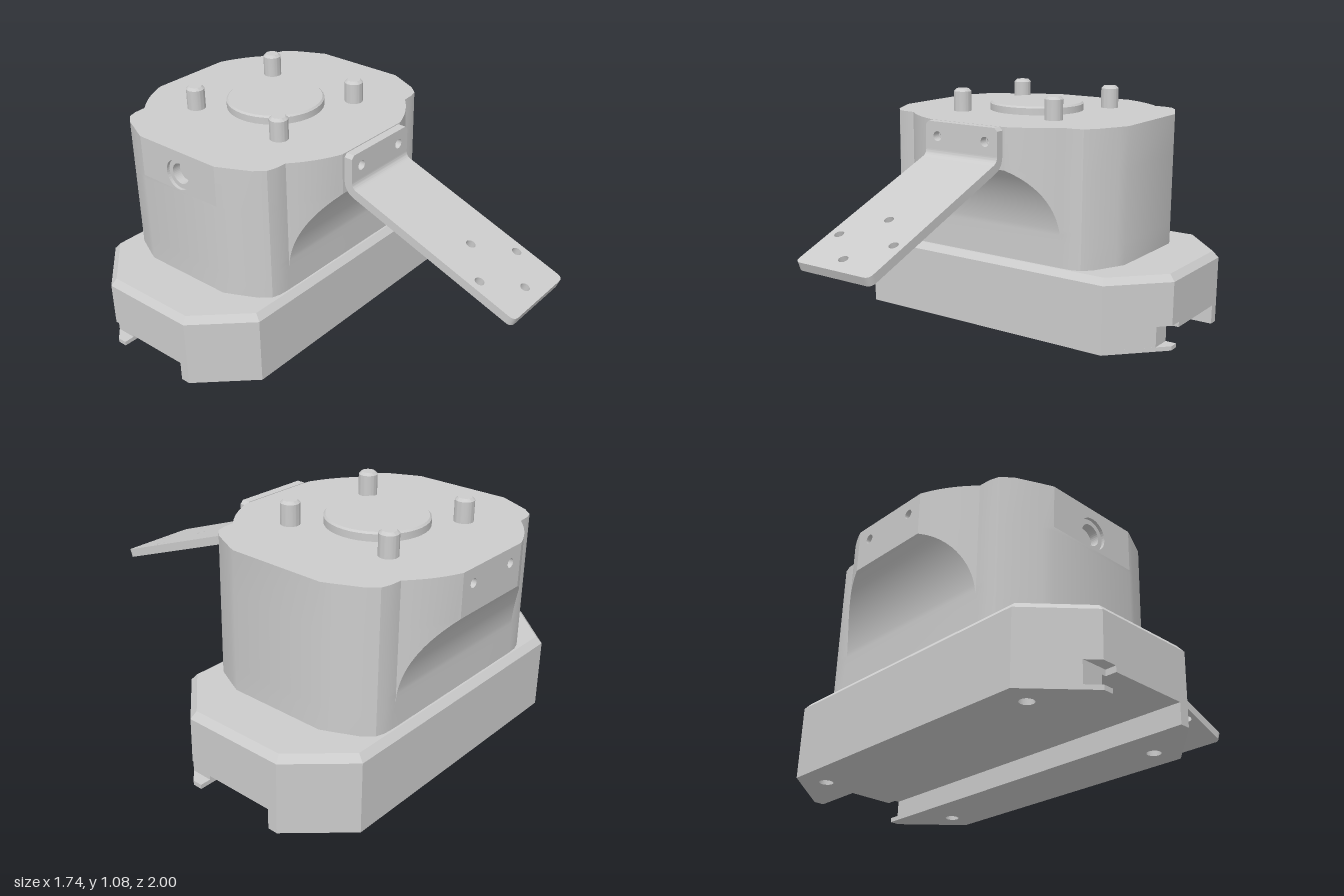
import * as THREE from 'three';
import { toCreasedNormals } from 'three/addons/utils/BufferGeometryUtils.js';

const material = new THREE.MeshStandardMaterial({ color: 0xcccccc });
const MID_Z = -0.435; // centre of the housing
const negate = (pts) => pts.map(([x, z]) => [-x, -z]);

function add(parent, name, geometry, x = 0, y = 0, z = 0) {
  const mesh = new THREE.Mesh(geometry, material);
  mesh.name = name;
  mesh.position.set(x, y, z);
  parent.add(mesh);
  return mesh;
}

function makeShape(pts, holes = []) {
  const shape = new THREE.Shape(pts.map(([x, y]) => new THREE.Vector2(x, y)));
  for (const [x, y, r] of holes) {
    shape.holes.push(new THREE.Path().absarc(x, y, r, 0, Math.PI * 2, true));
  }
  return shape;
}

const extrude = (shape, depth) =>
  new THREE.ExtrudeGeometry(shape, { depth, bevelEnabled: false, curveSegments: 20 });

// Plan outline given as [x, z]
const planShape = (pts, holes = []) =>
  makeShape(pts.map(([x, z]) => [x, -z]), holes.map(([x, z, r]) => [x, -z, r]));

const slab = (pts, y0, y1, holes) =>
  extrude(planShape(pts, holes), y1 - y0).rotateX(-Math.PI / 2).translate(0, y0, 0);

const cap = (pts) => new THREE.ShapeGeometry(planShape(pts)).rotateX(-Math.PI / 2);

// Skin through stacked plan outlines, leaving out the cells that skip() picks
function loft(rings, skip = () => false) {
  const n = rings[0].pts.length;
  const position = [];
  const index = [];
  for (const { pts, y } of rings) for (const [x, z] of pts) position.push(x, y, z);
  for (let r = 0; r < rings.length - 1; r++) {
    for (let i = 0; i < n; i++) {
      if (skip(r, i)) continue;
      const a = r * n + i;
      const b = r * n + (i + 1) % n;
      index.push(a, a + n, b, b, a + n, b + n);
    }
  }
  const g = new THREE.BufferGeometry();
  g.setAttribute('position', new THREE.Float32BufferAttribute(position, 3));
  g.setIndex(index);
  return toCreasedNormals(g, 0.5);
}

// Octagonal foot with a channel along x and a notch at opposite ends
function buildBase() {
  const base = new THREE.Group();
  base.name = 'base';
  const octagon = (d) => {
    const half = [[0.87 - d, -0.235 + d * 0.4], [0.87 - d, 0.235 - d * 0.4],
      [0.65 - d * 0.4, 0.47 - d], [-0.65 + d * 0.4, 0.47 - d]];
    return [...half, ...negate(half)];
  };
  const rings = [[0, 0.115], [0, 0.315], [0.026, 0.345]].map(([d, y]) => ({ pts: octagon(d), y }));
  add(base, 'baseShell', loft(rings));
  add(base, 'baseTop', cap(octagon(0.026)), 0, 0.345);

  const notched = [[0.87, -0.235], [0.87, 0.17], [0.82, 0.17], [0.82, 0.288], [0.65, 0.47], [-0.65, 0.47]];
  add(base, 'channelRoof', slab([...notched, ...negate(notched)], 0.09, 0.116));

  const rail = [[-0.87, 0.19], [-0.87, 0.235], [-0.65, 0.47], [0.65, 0.47]];
  const holes = [[-0.61, 0.35, 0.03], [0.61, 0.35, 0.03]];
  for (const turn of [0, Math.PI]) {
    const lip = [...rail, [0.87, 0.235], [0.87, 0.19]];
    const wall = [...rail, [0.82, 0.288], [0.82, 0.19]];
    add(base, 'railLip', slab(lip, 0, 0.02, holes)).rotation.y = turn;
    add(base, 'railWall', slab(wall, 0.02, 0.09, holes)).rotation.y = turn;
  }
  return base;
}

// Housing: rounded block with a round bulge, scooped away underneath
function buildHousing() {
  const housing = new THREE.Group();
  housing.name = 'housing';
  const R = 0.6, N = 10, FLAT = 0.565, TOP = 0.97, LEDGE = 0.78;
  const corner = [[0.62, 0.225], [0.6, 0.27], [0.55, 0.375], [0.51, 0.42], [0.47, 0.432], [0.42, 0.435]];
  const outline = (clip) => {
    const quarter = [...corner];
    const from = Math.asin(0.435 / R);
    const to = Math.asin(clip / R);
    for (let i = 0; i <= N; i++) {
      const a = from + (to - from) * i / N;
      quarter.push([R * Math.cos(a), R * Math.sin(a)]);
    }
    const half = [...quarter, ...quarter.map(([x, z]) => [-x, z]).reverse()];
    return [...half, ...negate(half)];
  };

  const rings = [{ pts: outline(0.435), y: 0.34 }];
  const scoopR = 0.484, STEPS = 16;
  for (let i = 0; i <= STEPS; i++) {
    const t = 0.75 * i / STEPS;
    rings.push({ pts: outline(0.435 + scoopR * (1 - Math.cos(t))), y: 0.45 + scoopR * Math.sin(t) });
  }
  rings[STEPS + 1] = { pts: outline(FLAT), y: LEDGE };
  rings.push({ pts: outline(FLAT), y: TOP });

  const half = rings[0].pts.length / 2;
  const front = corner.length + N;
  const drilled = [front, front + half, half - 1];
  add(housing, 'housingShell', loft(rings, (r, i) => r === STEPS + 1 && drilled.includes(i)));
  add(housing, 'housingTop', cap(outline(FLAT)), 0, TOP);

  // Drilled panels: front and back screw faces, and the port side
  const panel = (name, halfWidth, holes, distance, turn) => {
    const g = new THREE.Group();
    g.name = name;
    const rect = [[-halfWidth, LEDGE], [halfWidth, LEDGE], [halfWidth, TOP], [-halfWidth, TOP]];
    add(g, 'drilledPlate', extrude(makeShape(rect, holes), 0.06), 0, 0, distance - 0.06);
    for (const [x, y, r] of holes) {
      add(g, 'holeFloor', new THREE.CircleGeometry(r + 0.005, 24), x, y, distance - 0.055);
    }
    g.rotation.y = turn;
    housing.add(g);
    return g;
  };
  const flatHalf = Math.sqrt(R * R - FLAT * FLAT);
  const screws = [[-0.13, 0.905, 0.02], [0.13, 0.905, 0.02]];
  panel('frontScrewFace', flatHalf, screws, FLAT, 0);
  panel('backScrewFace', flatHalf, screws, FLAT, Math.PI);
  const port = panel('portFace', 0.225, [[0, 0.855, 0.07]], 0.62, -Math.PI / 2);
  const ring = new THREE.Shape().absarc(0, 0, 0.07, 0, Math.PI * 2);
  ring.holes.push(new THREE.Path().absarc(0, 0, 0.048, 0, Math.PI * 2, true));
  add(port, 'portRing', extrude(ring, 0.04), 0, 0.855, 0.565);

  // Raised disc and four locating pins
  const turned = (r, h, c) => toCreasedNormals(new THREE.LatheGeometry(
    [[r, 0], [r, h - c], [r - c, h], [0, h]].map(([x, y]) => new THREE.Vector2(x, y)), 40), 0.5);
  add(housing, 'centreDisc', turned(0.225, 0.04, 0.008), 0, TOP);
  for (const x of [-0.256, 0.256]) {
    for (const z of [-0.256, 0.256]) {
      add(housing, 'locatingPin', turned(0.042, 0.106, 0.012), x, TOP, z);
    }
  }
  return housing;
}

// Bent sheet bracket on the front
function buildBracket() {
  const bracket = new THREE.Group();
  bracket.name = 'bracket';
  const W = 0.195, T = 0.04;
  const tab = makeShape(
    [[-W, 0.845], [W, 0.845], [W, 0.955], [W - 0.015, 0.97], [-W + 0.015, 0.97], [-W, 0.955]],
    [[-0.13, 0.905, 0.022], [0.13, 0.905, 0.022]]);
  add(bracket, 'mountingTab', extrude(tab, T), 0, 0, 0.135);

  // Bend profile drawn as (-z, y), then turned to run along x
  const bend = new THREE.Shape();
  bend.moveTo(-0.135, 0.845);
  bend.lineTo(-0.175, 0.845);
  bend.quadraticCurveTo(-0.175, 0.82, -0.2, 0.811);
  bend.lineTo(-0.186, 0.7736);
  bend.quadraticCurveTo(-0.135, 0.793, -0.135, 0.845);
  const bendGeometry = extrude(bend, 2 * W).rotateY(Math.PI / 2);
  add(bracket, 'bend', toCreasedNormals(bendGeometry, 0.5), -W);

  const L = 0.855, r = 0.03;
  const plate = new THREE.Shape();
  plate.moveTo(-W, 0);
  plate.lineTo(W, 0);
  plate.lineTo(W, L - r);
  plate.quadraticCurveTo(W, L, W - r, L);
  plate.lineTo(-W + r, L);
  plate.quadraticCurveTo(-W, L, -W, L - r);
  for (const [x, s] of [[0, 0.49], [-0.145, 0.64], [0.145, 0.64], [0, 0.78]]) {
    plate.holes.push(new THREE.Path().absarc(x, s, 0.021, 0, Math.PI * 2, true));
  }
  add(bracket, 'slopedPlate', extrude(plate, T), 0, 0.811, 0.2).rotation.x = Math.atan2(0.936, -0.352);
  return bracket;
}

export function createModel() {
  const model = new THREE.Group();
  model.name = 'mountingUnit';
  const base = buildBase();
  const housing = buildHousing();
  base.position.z = housing.position.z = MID_Z;
  model.add(base, housing, buildBracket());
  return model;
}
